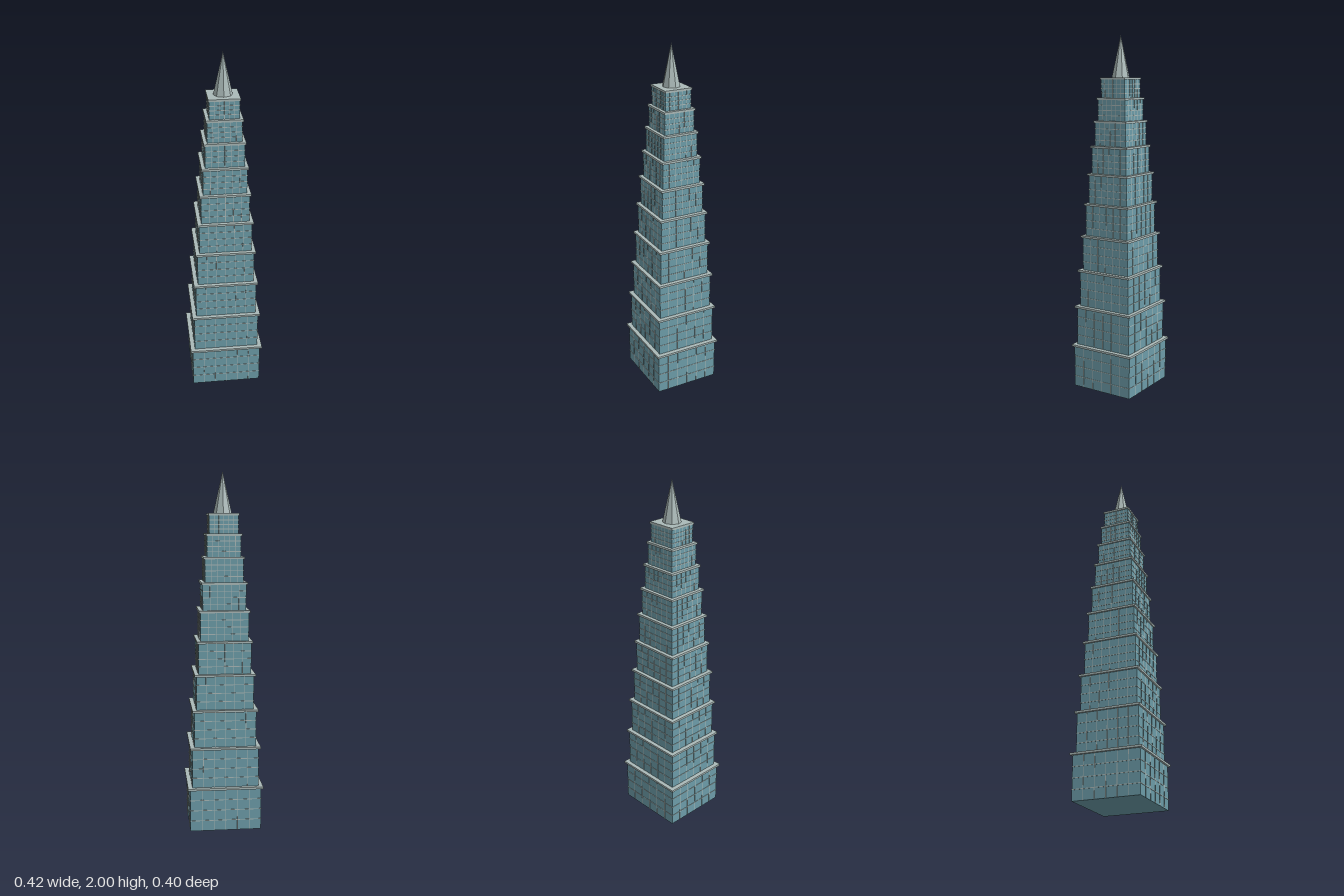
import * as THREE from 'three';

export function createModel() {
  const tower = new THREE.Group();
  tower.name = 'tower';
  const glass = new THREE.MeshStandardMaterial({ color: 0x6c9ca8 });
  const stone = new THREE.MeshStandardMaterial({ color: 0xaab9b8 });
  const spireMat = new THREE.MeshStandardMaterial({ color: 0xaab9b8, flatShading: true });

  const box = (parent, name, mat, w, h, d, x, y, z) => {
    const mesh = new THREE.Mesh(new THREE.BoxGeometry(w, h, d), mat);
    mesh.name = name;
    mesh.position.set(x, y, z);
    parent.add(mesh);
  };

  // Height of the top of each tier's ledge
  const tops = [0, 0.25, 0.479, 0.69, 0.889, 1.072, 1.241, 1.395, 1.534, 1.66, 1.77];
  const floors = 4, bays = 6, ledge = 0.012, bar = 0.004, out = 0.002;

  for (let i = 0; i < 10; i++) {
    const tier = new THREE.Group();
    tier.name = `tier${i + 1}`;
    tower.add(tier);
    const y0 = tops[i], y1 = tops[i + 1], h = y1 - y0 - ledge;
    const ledgeW = 2 * (0.212 - i * 0.0141), ledgeD = 2 * (0.199 - i * 0.0132);
    const w = ledgeW * 0.943, d = ledgeD * 0.943;

    box(tier, 'glassBody', glass, w, h, d, 0, y0 + h / 2, 0);
    box(tier, 'ledge', stone, ledgeW, ledge, ledgeD, 0, y1 - ledge / 2, 0);

    // Floor bands wrapping the tier
    for (let f = 1; f < floors; f++) {
      box(tier, 'floorBand', stone, w + 2 * out, bar, d + 2 * out, 0, y0 + (h * f) / floors, 0);
    }
    // Vertical mullions on all four faces
    for (let b = 1; b < bays; b++) {
      const t = b / bays - 0.5;
      for (const s of [-1, 1]) {
        box(tier, 'mullion', stone, bar * 0.75, h, out, t * w, y0 + h / 2, s * (d + out) / 2);
        box(tier, 'mullion', stone, out, h, bar * 0.75, s * (w + out) / 2, y0 + h / 2, t * d);
      }
    }
  }

  // Eight-sided spire
  const spire = new THREE.Mesh(new THREE.ConeGeometry(0.052, 0.23, 8), spireMat);
  spire.name = 'spire';
  spire.scale.z = 0.94;
  spire.position.y = 1.885;
  tower.add(spire);
  return tower;
}
